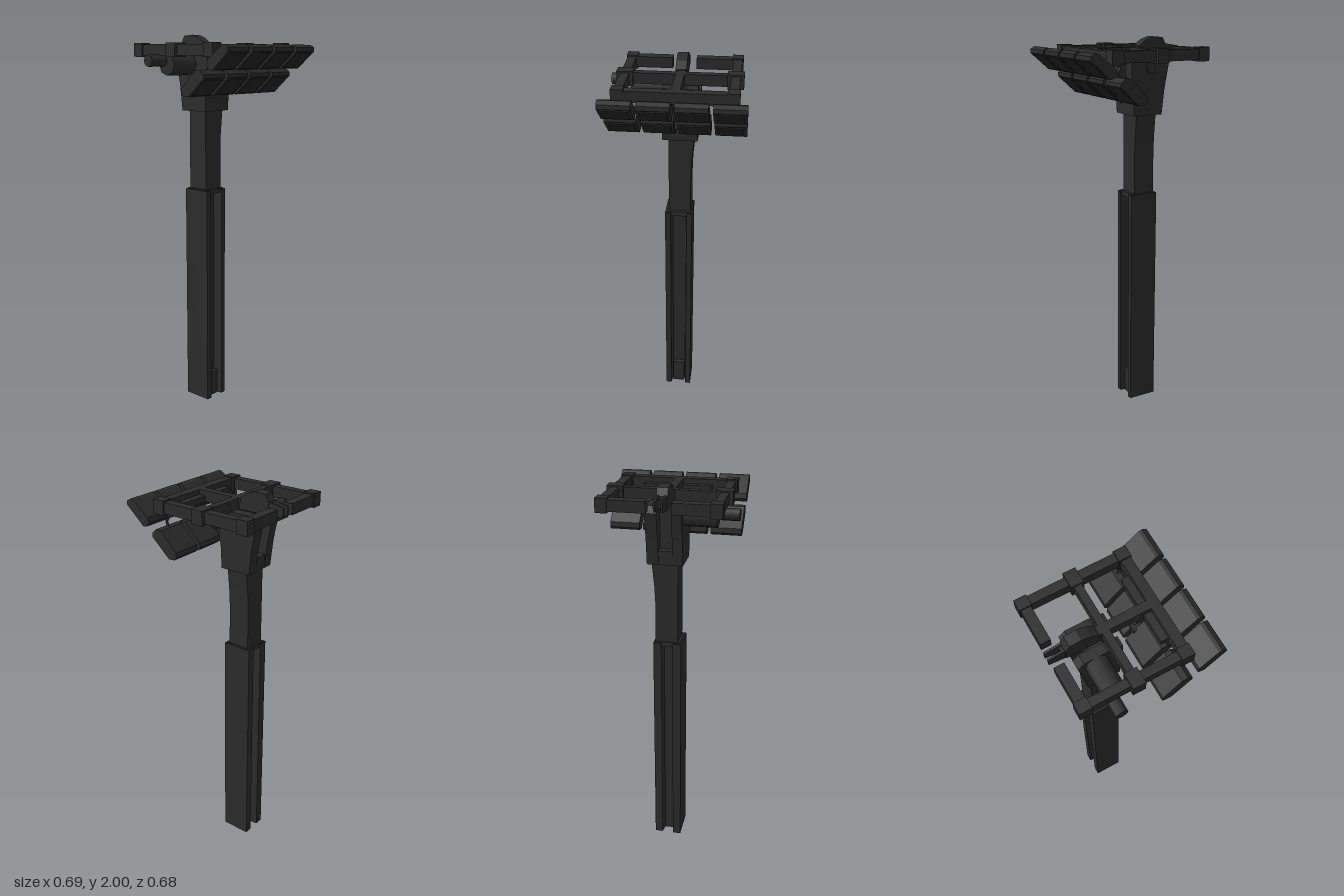
import * as THREE from 'three';

export function createModel() {
  const model = new THREE.Group();
  const metal = new THREE.MeshStandardMaterial({ color: 0x2c2c2c });
  metal.name = 'dark metal';
  const glass = new THREE.MeshStandardMaterial({ color: 0x252525 });
  glass.name = 'dark glass';

  const add = (name, geometry, parent = model, material = metal) => {
    const mesh = new THREE.Mesh(geometry, material);
    mesh.name = name;
    parent.add(mesh);
    return mesh;
  };
  // Box given by its limits on each axis
  const box = (name, x0, x1, y0, y1, z0, z1, parent) => {
    const g = new THREE.BoxGeometry(x1 - x0, y1 - y0, z1 - z0);
    g.translate((x0 + x1) / 2, (y0 + y1) / 2, (z0 + z1) / 2);
    return add(name, g, parent);
  };
  // Outline in (z, y) extruded from x0 to x1
  const sideExtrude = (points, x0, x1) => {
    const shape = new THREE.Shape(points.map(([z, y]) => new THREE.Vector2(-z, y)));
    const g = new THREE.ExtrudeGeometry(shape, { depth: x1 - x0, bevelEnabled: false });
    return g.rotateY(Math.PI / 2).translate(x0, 0, 0);
  };
  // Cylinder lying along x
  const axle = (name, r, x0, x1, y, z, sides = 8) => {
    const g = new THREE.CylinderGeometry(r, r, x1 - x0, sides);
    return add(name, g.rotateZ(Math.PI / 2).translate((x0 + x1) / 2, y, z));
  };

  // Lower post: H-section with grooves on the front and back
  const h = new THREE.Shape([
    [-0.07, 0.035], [-0.04, 0.035], [-0.033, 0.085], [0.038, 0.085], [0.045, 0.035], [0.073, 0.035],
    [0.073, 0.19], [0.032, 0.19], [0.025, 0.145], [-0.02, 0.145], [-0.027, 0.19], [-0.07, 0.19],
  ].map(([x, y]) => new THREE.Vector2(x, y)));
  const post = new THREE.ExtrudeGeometry(h, { depth: 1.19, bevelEnabled: false });
  add('lowerPost', post.rotateX(-Math.PI / 2));
  box('postFoot', -0.03, 0.035, 0, 0.14, -0.09, -0.06);
  box('postCap', -0.062, 0.066, 1.17, 1.195, -0.183, -0.043);

  // Upper post, flared to one side at its top
  const neck = new THREE.BoxGeometry(0.115, 0.45, 0.115, 1, 6, 1);
  neck.translate(0.006, 1.415, -0.117);
  const p = neck.attributes.position;
  for (let i = 0; i < p.count; i++) {
    if (p.getX(i) > 0 && p.getY(i) > 1.45) p.setX(i, p.getX(i) + (p.getY(i) - 1.45) * 0.1);
  }
  neck.computeVertexNormals();
  add('upperPost', neck);

  // Head yoke: a base with two tapered cheeks
  const head = new THREE.Group();
  head.name = 'head';
  model.add(head);
  box('headBase', -0.075, 0.085, 1.61, 1.68, -0.2, -0.035, head);
  const cheek = [[-0.2, 1.61], [-0.035, 1.61], [-0.03, 1.72], [-0.02, 1.78], [-0.02, 1.885],
    [-0.1, 1.9], [-0.21, 1.9], [-0.24, 1.87], [-0.215, 1.74]];
  add('rightCheek', sideExtrude(cheek, -0.08, -0.03), head);
  add('leftCheek', sideExtrude(cheek, 0.04, 0.097), head);
  box('headCore', -0.03, 0.04, 1.66, 1.89, -0.16, -0.09, head);

  // Tilt drive and its end knob
  axle('tiltAxle', 0.028, -0.1, 0.107, 1.85, -0.13);
  axle('driveHousing', 0.055, -0.24, -0.05, 1.85, -0.15, 8);
  axle('driveKnob', 0.03, -0.345, -0.235, 1.87, -0.175, 8);

  // Top frame
  const frame = new THREE.Group();
  frame.name = 'frame';
  model.add(frame);
  const y0 = 1.895, y1 = 1.95;
  for (const [x0, x1] of [[-0.28, -0.237], [0.253, 0.298]]) {
    const c = (x0 + x1) / 2;
    box('sideBar', x0, x1, y0, y1, -0.335, 0.2, frame);
    box('middleJoint', c - 0.04, c + 0.04, 1.887, 1.958, -0.097, -0.035, frame);
    box('frontJoint', c - 0.029, c + 0.029, 1.888, 1.957, 0.145, 0.207, frame);
    box('backJoint', c - 0.028, c + 0.028, 1.888, 1.957, -0.341, -0.28, frame);
  }
  box('backBarRight', -0.28, -0.052, y0, y1, -0.335, -0.285, frame);
  box('backBarLeft', 0.068, 0.298, y0, y1, -0.335, -0.285, frame);
  box('middleBar', -0.28, 0.298, y0, y1, -0.084, -0.047, frame);
  box('frontBar', -0.28, 0.298, y0, y1, 0.155, 0.203, frame);
  box('centreBar', -0.014, 0.029, y0, y1, -0.25, 0.16, frame);

  // Raised ridge over the pivot, ending in a two-pronged fork
  add('centreRidge', sideExtrude([[-0.26, 1.9], [-0.09, 1.9], [-0.1, 1.955], [-0.14, 1.985],
    [-0.185, 2], [-0.24, 1.995], [-0.26, 1.96]], -0.02, 0.034), frame);
  const prong = [[-0.25, 1.89], [-0.25, 1.965], [-0.34, 1.95], [-0.34, 1.905]];
  add('forkProng', sideExtrude(prong, -0.013, -0.004), frame);
  add('forkProng', sideExtrude(prong, 0.021, 0.031), frame);
  box('forkEnd', -0.01, 0.027, 1.905, 1.945, -0.275, -0.255, frame);

  // Lamps: two rows of four, tilted to face down and forward
  const columns = [[-0.328, -0.174], [-0.154, 0], [0.019, 0.171], [0.191, 0.343]];
  const rows = [
    { name: 'upperLamp', shape: [[0.34, 1.915], [0.338, 1.935], [0.315, 1.948], [0.298, 1.945],
      [0.21, 1.875], [0.203, 1.85], [0.215, 1.833], [0.24, 1.828]] },
    { name: 'lowerLamp', shape: [[0.186, 1.79], [0.184, 1.808], [0.16, 1.83], [0.13, 1.828],
      [0.04, 1.74], [0.037, 1.715], [0.05, 1.702], [0.085, 1.70]] },
  ];
  for (const { name, shape } of rows) {
    const a = shape[0], b = shape[7];
    const lamp = new THREE.Group();
    lamp.name = name + 'Row';
    model.add(lamp);
    for (const [x0, x1] of columns) {
      const body = sideExtrude(shape, x0, x1);
      // Narrow the rear shell slightly towards the ends
      add(name, body, lamp);
      // Thin lens on the sloping front face
      const dz = a[0] - b[0], dy = a[1] - b[1];
      const lens = add(name + 'Lens', new THREE.BoxGeometry(x1 - x0 - 0.03,
        Math.hypot(dz, dy) - 0.02, 0.006), lamp, glass);
      lens.position.set((x0 + x1) / 2, (a[1] + b[1]) / 2, (a[0] + b[0]) / 2);
      lens.rotation.x = Math.atan2(dz, dy);
    }
  }
  box('lowerLampJoiner', -0.01, 0.03, 1.74, 1.79, 0.075, 0.125);

  // Hangers from the front bar to the lamps
  box('hangerRail', -0.16, 0.182, 1.895, 1.925, 0.118, 0.158);
  for (const [x0, x1] of columns) {
    const c = (x0 + x1) / 2;
    const path = new THREE.CatmullRomCurve3([
      new THREE.Vector3(c, 1.9, 0.185), new THREE.Vector3(c, 1.875, 0.145),
      new THREE.Vector3(c, 1.85, 0.16), new THREE.Vector3(c, 1.82, 0.145)]);
    add('lowerHanger', new THREE.TubeGeometry(path, 10, 0.007, 5));
    const arm = new THREE.LineCurve3(new THREE.Vector3(c, 1.905, 0.18), new THREE.Vector3(c, 1.86, 0.225));
    add('upperHanger', new THREE.TubeGeometry(arm, 1, 0.009, 5));
  }
  return model;
}
